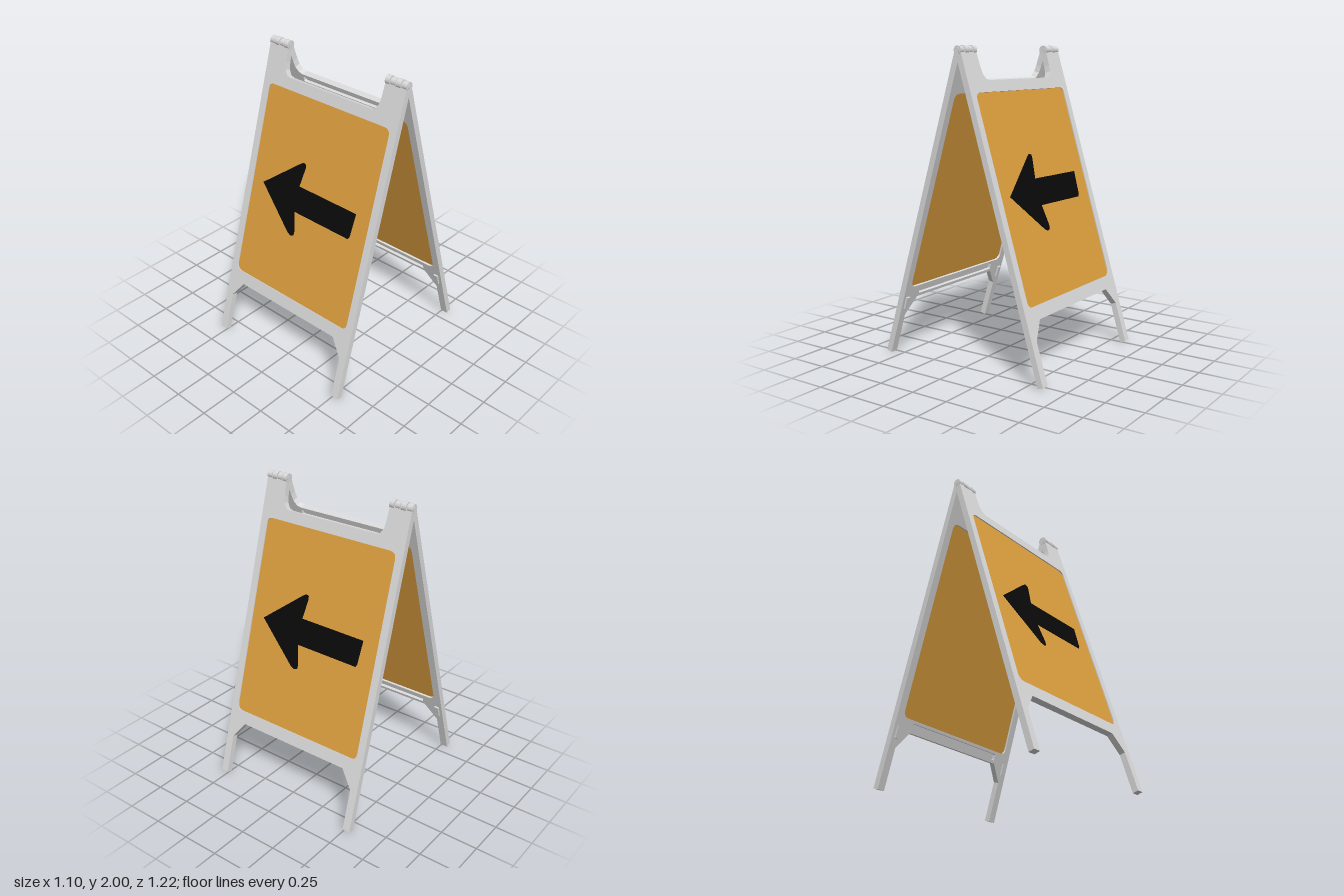
import * as THREE from 'three';

const PIVOT = 1.97, TILT = Math.atan(0.595 / 1.97);
const FACE = 0.02; // half thickness of a leaf

// height above ground -> distance along the tilted leaf
const along = (y) => (y - PIVOT - FACE * Math.sin(TILT)) / Math.cos(TILT);

function polygon(points, PathType = THREE.Shape) {
  return new PathType(points.map(([x, y]) => new THREE.Vector2(x, along(y))));
}

// rectangle with rounded corners, given by front-view heights
function roundedRect(x0, y0, x1, y1, r, PathType = THREE.Path) {
  const a = along(y0), b = along(y1), p = new PathType();
  p.moveTo(x0 + r, a);
  p.lineTo(x1 - r, a).quadraticCurveTo(x1, a, x1, a + r);
  p.lineTo(x1, b - r).quadraticCurveTo(x1, b, x1 - r, b);
  p.lineTo(x0 + r, b).quadraticCurveTo(x0, b, x0, b - r);
  p.lineTo(x0, a + r).quadraticCurveTo(x0, a, x0 + r, a);
  return p;
}

// half of the frame outline, from the centre of the top rail round to the bottom rail
const HALF = [
  [0.33, 1.79], [0.36, 1.80], [0.38, 1.83], [0.387, 1.87], [0.392, 1.965],
  [0.545, 1.965], [0.547, 0.012], [0.495, 0.012], [0.495, 0.27], [0.41, 0.38],
];
function frameShape(slots) {
  const left = HALF.map(([x, y]) => [-x, y]).reverse();
  const shape = polygon([...HALF, ...left]);
  shape.holes.push(roundedRect(-0.495, 0.46, 0.495, 1.72, 0.045));
  if (slots) {
    shape.holes.push(roundedRect(-0.40, 0.40, 0.40, 0.442, 0.01));
    shape.holes.push(roundedRect(-0.33, 1.738, 0.33, 1.773, 0.01));
  }
  return shape;
}

function slab(name, shape, from, to, material) {
  const geometry = new THREE.ExtrudeGeometry(shape, { depth: to - from, bevelEnabled: false, curveSegments: 5 });
  const mesh = new THREE.Mesh(geometry, material);
  mesh.position.z = from;
  mesh.name = name;
  return mesh;
}

export function createModel() {
  const plastic = new THREE.MeshStandardMaterial({ color: 0xdadada });
  plastic.name = 'light grey plastic';
  const orange = new THREE.MeshStandardMaterial({ color: 0xdd9f3e });
  orange.name = 'orange sheet';
  const black = new THREE.MeshStandardMaterial({ color: 0x090909 });
  black.name = 'black paint';

  const model = new THREE.Group();
  model.name = 'foldingArrowSign';

  function leaf(name) {
    const g = new THREE.Group();
    g.name = name;
    // solid outer skin, with hollow rails behind it
    g.add(slab('frameFront', frameShape(false), 0, FACE, plastic));
    g.add(slab('frameBack', frameShape(true), -FACE, 0, plastic));
    g.add(slab('signSheet', roundedRect(-0.5, 0.455, 0.5, 1.725, 0.045, THREE.Shape), -0.006, 0.013, orange));

    // arrow with blunt barbs
    const arrow = polygon([
      [-0.40, 1.10], [-0.12, 0.866], [-0.09, 0.852], [-0.068, 0.862], [-0.066, 0.885],
      [-0.095, 1.01], [0.36, 1.005], [0.37, 1.02], [0.382, 1.17], [-0.095, 1.175],
      [-0.072, 1.30], [-0.075, 1.322], [-0.095, 1.328], [-0.12, 1.312],
    ]);
    g.add(slab('arrow', arrow, 0.013, 0.017, black));

    for (const side of [-1, 1]) {
      // small stop on the inner side of each gusset
      const stop = new THREE.Mesh(new THREE.BoxGeometry(0.03, 0.08, 0.014), plastic);
      stop.name = 'legStop';
      stop.position.set(side * 0.51, along(0.36), -FACE - 0.005);
      g.add(stop);
    }
    g.position.y = PIVOT;
    g.rotation.x = -TILT;
    const turned = new THREE.Group();
    turned.name = name + 'Side';
    turned.add(g);
    return turned;
  }

  const front = leaf('frontLeaf');
  const back = leaf('backLeaf');
  back.rotation.y = Math.PI;
  model.add(front, back);

  // hinge barrels on a thin pin at each top corner
  function barrel(name, x0, x1, radius) {
    const geometry = new THREE.CylinderGeometry(radius, radius, x1 - x0, 16);
    geometry.rotateZ(Math.PI / 2);
    const mesh = new THREE.Mesh(geometry, plastic);
    mesh.name = name;
    mesh.position.set((x0 + x1) / 2, PIVOT, 0);
    return mesh;
  }
  const knuckles = [[0.39, 0.422], [0.428, 0.462], [0.468, 0.505], [0.511, 0.547]];
  for (const side of [-1, 1]) {
    const hinge = new THREE.Group();
    hinge.name = side > 0 ? 'leftHinge' : 'rightHinge';
    const span = (a, b) => (side > 0 ? [a, b] : [-b, -a]);
    knuckles.forEach(([a, b], i) => hinge.add(barrel('knuckle', ...span(a, b), i % 2 ? 0.027 : 0.03)));
    hinge.add(barrel('hingePin', ...span(0.388, 0.55), 0.016));
    model.add(hinge);
  }
  return model;
}
